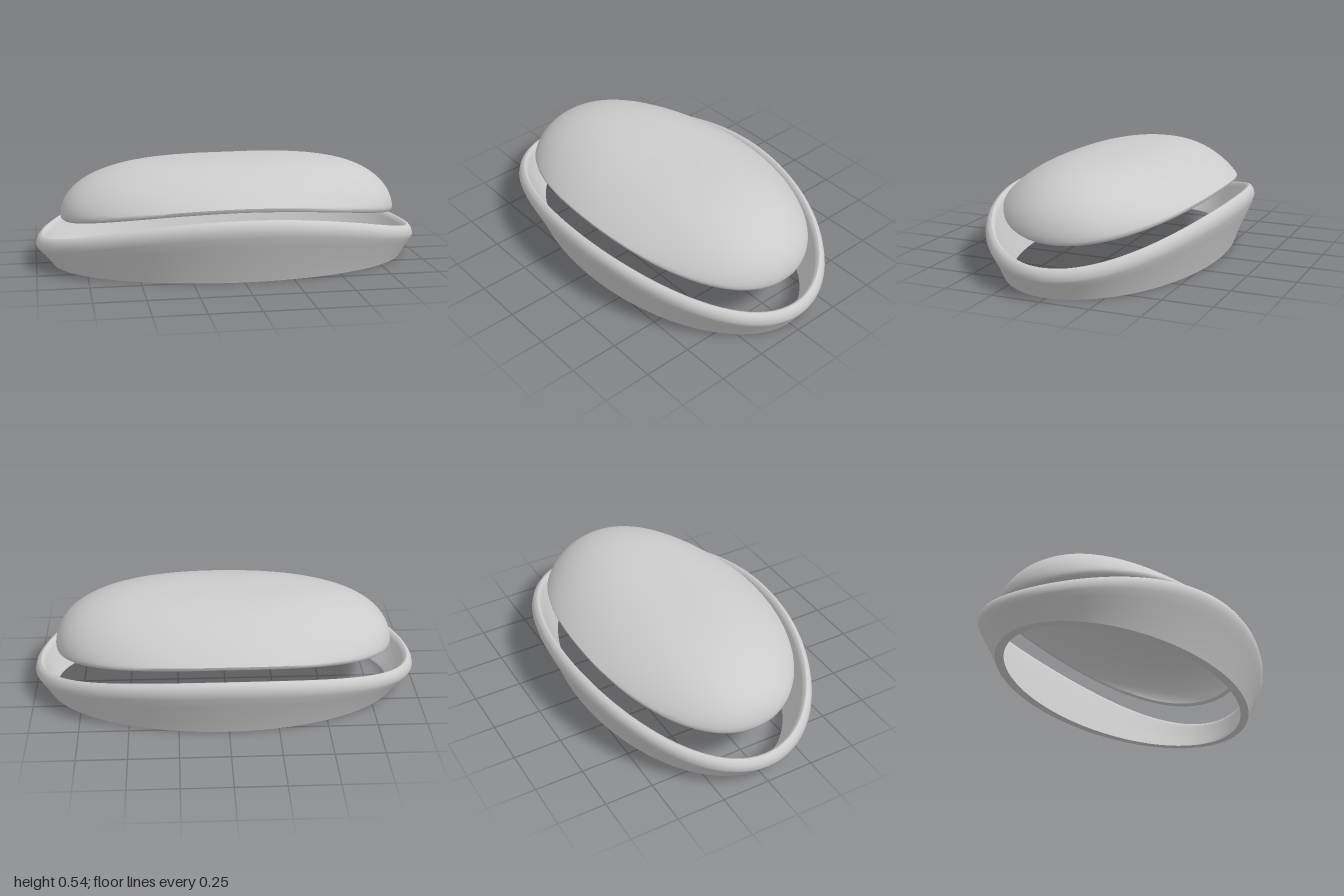
import * as THREE from 'three';
import { toCreasedNormals } from 'three/addons/utils/BufferGeometryUtils.js';

const SEG = 96;

// Skins a stack of closed rings; point(row, angle) returns [x, y, z].
function loft(rows, point, closed) {
  const positions = [], index = [];
  rows.forEach((row) => {
    for (let j = 0; j < SEG; j++) positions.push(...point(row, (j / SEG) * Math.PI * 2));
  });
  const last = closed ? rows.length : rows.length - 1;
  for (let i = 0; i < last; i++) {
    const next = (i + 1) % rows.length;
    for (let j = 0; j < SEG; j++) {
      const k = (j + 1) % SEG;
      const a = i * SEG + j, b = next * SEG + j, c = i * SEG + k, d = next * SEG + k;
      index.push(a, b, c, c, b, d);
    }
  }
  const geometry = new THREE.BufferGeometry();
  geometry.setAttribute('position', new THREE.Float32BufferAttribute(positions, 3));
  geometry.setIndex(index);
  return toCreasedNormals(geometry, 0.8);
}

// Flared oval band with a flat foot and a rolled, saddle-shaped rim.
function bezelGeometry() {
  // flare: share of the foot inset; inset: extra inset; t: height share up to the rim; rise: height above it
  const rows = [
    { flare: 1, inset: 0, t: 0, rise: 0 },
    { flare: 0.65, inset: 0, t: 0.37, rise: 0 },
    { flare: 0.27, inset: 0, t: 0.7, rise: 0 },
    { flare: 0.08, inset: 0, t: 0.88, rise: 0 },
    { flare: 0, inset: 0, t: 1, rise: 0 },
    { flare: 0, inset: 0.006, t: 1, rise: 0.026 },
    { flare: 0, inset: 0.018, t: 1, rise: 0.044 },
    { flare: 0, inset: 0.032, t: 1, rise: 0.05 },
    { flare: 0, inset: 0.045, t: 1, rise: 0.044 },
    { flare: 0, inset: 0.054, t: 1, rise: 0.025 },
    { flare: 0.3, inset: 0.053, t: 0.7, rise: 0 },
    { flare: 0.65, inset: 0.049, t: 0.37, rise: 0 },
    { flare: 1, inset: 0.045, t: 0, rise: 0 },
  ];
  return loft(rows, (row, angle) => {
    const c = Math.cos(angle), s = Math.sin(angle);
    const shoulder = 0.275 - 0.17 * c * c;
    return [
      (1 - row.flare * 0.075 - row.inset) * c + row.flare * 0.012,
      shoulder * row.t + row.rise,
      (0.63 - row.flare * 0.1 - row.inset) * s,
    ];
  }, true);
}

// Thin domed shell: steep at the two ends, sloping gently along the long sides.
function coverGeometry() {
  const steps = 24;
  const radii = Array.from({ length: steps + 1 }, (_, i) => Math.sin((i / steps) * Math.PI / 2));
  const rows = [
    ...radii.map((r) => ({ r, size: 0.955, lift: 0.008, drop: 0.035 })),
    { r: 1, size: 0.97, lift: 0.001, drop: 0 },
    { r: 1, size: 0.985, lift: 0, drop: 0 },
    { r: 1, size: 0.996, lift: 0.007, drop: 0 },
    ...radii.reverse().map((r) => ({ r, size: 1, lift: 0.02, drop: 0 })),
  ];
  return loft(rows, ({ r, size, lift, drop }, angle) => {
    const c = Math.cos(angle), s = Math.sin(angle);
    const end = c * c;
    // slightly fuller than an ellipse
    const full = Math.pow(Math.abs(c) ** 2.15 + Math.abs(s) ** 2.15, -1 / 2.15);
    const x = 0.877 * full * c * r * size, z = 0.525 * full * s * r * size;
    const edge = 0.345 - 0.11 * end + lift;
    const dome = Math.pow(Math.max(0, 1 - r ** (2.5 + 1.2 * end)), 1 - 0.48 * end);
    const top = 0.538 - drop + 0.012 * x;
    return [x + 0.006, edge + (top - edge) * dome, z];
  }, false);
}

export function createModel() {
  const group = new THREE.Group();
  group.name = 'ovalBezelAndCover';
  const material = new THREE.MeshStandardMaterial({ color: 0xcccccc });
  const parts = { bezel: bezelGeometry(), domedCover: coverGeometry() };
  for (const [name, geometry] of Object.entries(parts)) {
    const mesh = new THREE.Mesh(geometry, material);
    mesh.name = name;
    group.add(mesh);
  }
  return group;
}
